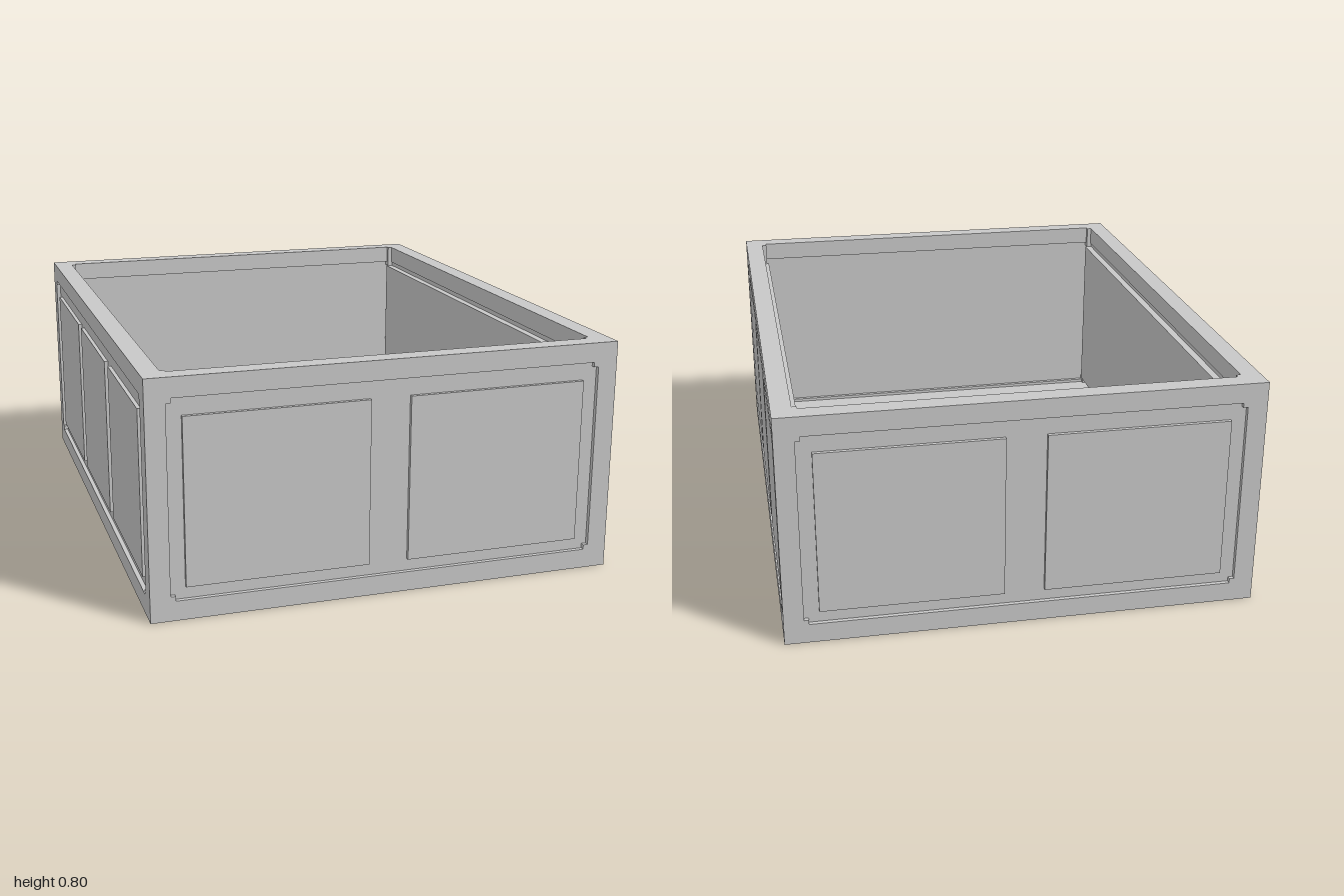
import * as THREE from 'three';

const W = 0.8, H = 0.8, D = 1;      // half width, full height, half depth
const BEAM = 0.067, BLOCK = 0.083;  // frame beam and corner block thickness
const RECESS = 0.015, RAISE = 0.013;

export function createModel() {
  const crate = new THREE.Group();
  crate.name = 'openCrate';
  const grey = new THREE.MeshStandardMaterial({ color: 0xc7c7c7 });
  grey.name = 'lightGrey';

  // Box given by its minimum and maximum corners
  function box(name, x0, x1, y0, y1, z0, z1) {
    const mesh = new THREE.Mesh(new THREE.BoxGeometry(x1 - x0, y1 - y0, z1 - z0), grey);
    mesh.position.set((x0 + x1) / 2, (y0 + y1) / 2, (z0 + z1) / 2);
    mesh.name = name;
    crate.add(mesh);
  }
  // A range mirrored to the given side
  const span = (s, a, b) => (s > 0 ? [a, b] : [-b, -a]);

  const signs = [-1, 1];
  const ix = W - BLOCK, iz = D - BLOCK;

  for (const sx of signs) {
    for (const sz of signs) {
      // Corner blocks and upright posts
      for (const y of [0, H - BLOCK]) {
        box('cornerBlock', ...span(sx, ix, W), y, y + BLOCK, ...span(sz, iz, D));
      }
      box('cornerPost', ...span(sx, W - BEAM, W), BLOCK, H - BLOCK, ...span(sz, D - BEAM, D));
    }
  }

  // Top and bottom beams
  for (const s of signs) {
    for (const y of [0, H - BEAM]) {
      box('sideBeam', ...span(s, W - BEAM, W), y, y + BEAM, -iz, iz);
      box('endBeam', -ix, ix, y, y + BEAM, ...span(s, D - BEAM, D));
    }
  }

  const px = W - BEAM, pz = D - BEAM;
  for (const s of signs) {
    // Side walls, each with an inner lining plate standing proud of the frame
    box('sideWall', ...span(s, px + 0.003, W - RECESS), BEAM, H - BEAM, -pz, pz);
    box('sideLining', ...span(s, 0.71, px + 0.004), BLOCK, H - BLOCK, -iz, iz);
    // End walls sit back from the frame on both faces
    box('endWall', -px, px, BEAM, H - BEAM, ...span(s, pz + 0.015, D - RECESS));

    // Raised outer panels: three per side, two per end
    for (const z of [-0.605, 0, 0.605]) {
      box('sidePanel', ...span(s, W - RECESS - 0.01, W - RECESS + RAISE),
        0.109, 0.672, z - 0.271, z + 0.271);
    }
    for (const x of [-0.375, 0.375]) {
      box('endPanel', x - 0.307, x + 0.307, 0.109, 0.672,
        ...span(s, D - RECESS - 0.01, D - RECESS + RAISE));
    }
  }

  // Floor, recessed underneath
  box('floor', -px, px, 0.033, 0.055, -pz, pz);

  return crate;
}
